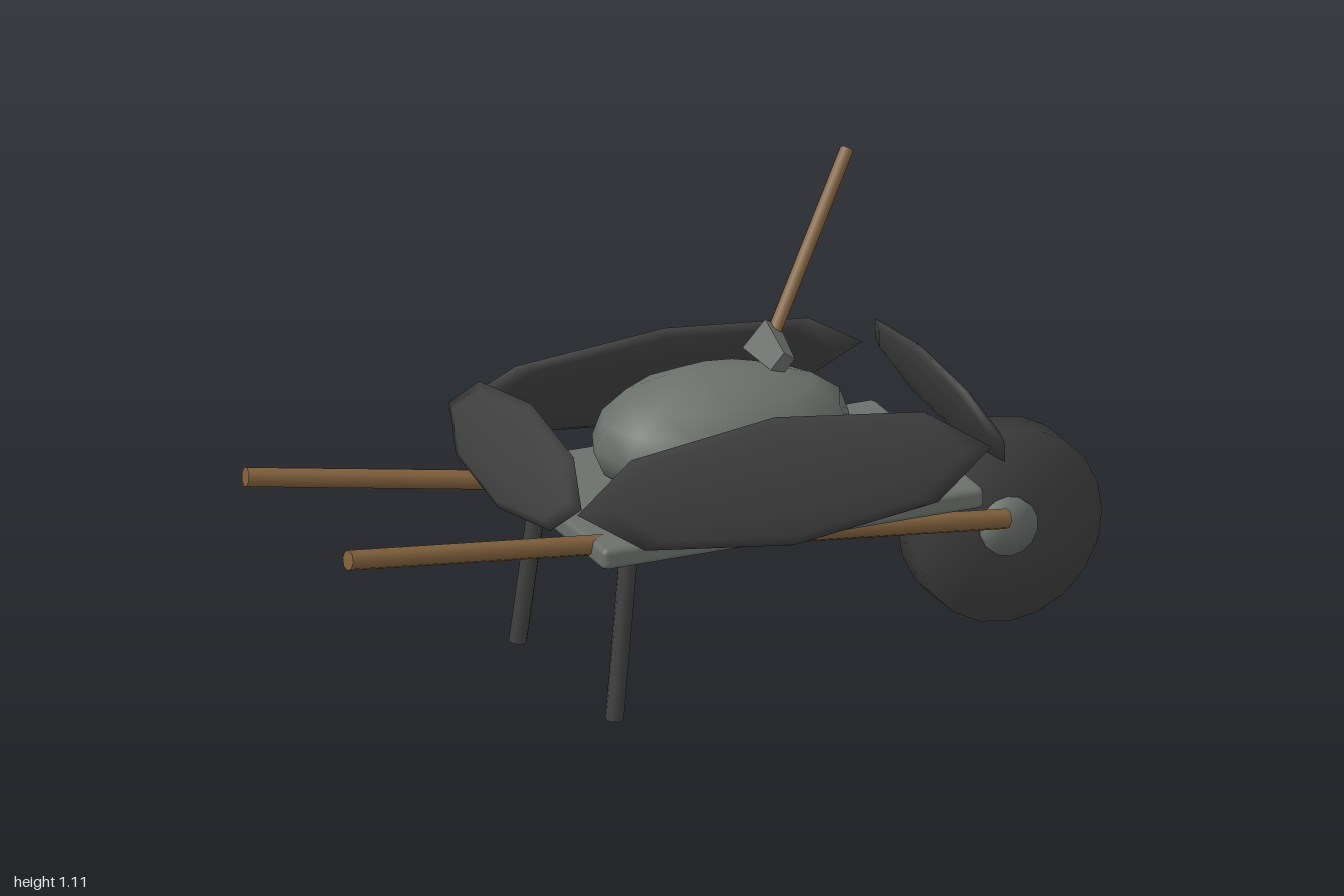
import * as THREE from 'three';
import { mergeVertices } from 'three/addons/utils/BufferGeometryUtils.js';
import { RoundedBoxGeometry } from 'three/addons/geometries/RoundedBoxGeometry.js';

export function createModel() {
  const root = new THREE.Group();
  root.name = 'wheelbarrow';
  const paint = (name, color) => {
    const m = new THREE.MeshStandardMaterial({ color });
    m.name = name;
    return m;
  };
  const dark = paint('charcoal', 0x404040);
  const stone = paint('stone grey', 0x6b706c);
  const wood = paint('brown wood', 0x80603c);

  const add = (name, geometry, material, x = 0, y = 0, z = 0) => {
    const mesh = new THREE.Mesh(geometry, material);
    mesh.name = name;
    mesh.position.set(x, y, z);
    root.add(mesh);
    return mesh;
  };

  // Share vertices so shading rolls softly over the rims
  const soften = (geometry) => {
    geometry.deleteAttribute('uv');
    geometry.deleteAttribute('normal');
    const merged = mergeVertices(geometry, 1e-4);
    merged.computeVertexNormals();
    return merged;
  };

  // Straight round pole between two points
  const rod = (name, from, to, radius, material) => {
    const a = new THREE.Vector3(...from), b = new THREE.Vector3(...to);
    const dir = b.clone().sub(a);
    const geometry = new THREE.CylinderGeometry(radius, radius, dir.length(), 8);
    const mid = a.add(b).multiplyScalar(0.5);
    const mesh = add(name, geometry, material, mid.x, mid.y, mid.z);
    mesh.quaternion.setFromUnitVectors(new THREE.Vector3(0, 1, 0), dir.normalize());
  };

  // Wheel and hub, axle along z
  const disc = (radius, width, sides) =>
    soften(new THREE.CylinderGeometry(radius, radius, width, sides).rotateX(Math.PI / 2));
  add('wheel', disc(0.235, 0.096, 20), dark, 0.765, 0.238, 0);
  add('hub', disc(0.07, 0.132, 14), stone, 0.762, 0.24, 0);

  // Tray floor with bevelled edges
  add('trayFloor', new RoundedBoxGeometry(0.96, 0.054, 0.62, 1, 0.016), stone, 0.11, 0.428, 0);

  // Thin eight-sided panels leaning inward round the tray
  const panel = (halfLength, halfHeight, halfThickness) =>
    new THREE.SphereGeometry(1, 8, 6).rotateX(Math.PI / 2)
      .scale(halfLength, halfHeight, halfThickness);
  for (const s of [1, -1]) {
    const side = add(s > 0 ? 'leftSidePanel' : 'rightSidePanel', panel(0.52, 0.148, 0.026), dark, 0.062, 0.574, s * 0.36);
    side.rotation.x = -s * 0.38;
  }
  const frontEnd = add('wheelEndPanel', panel(0.36, 0.148, 0.024).rotateY(Math.PI / 2), dark, 0.615, 0.578, 0);
  frontEnd.rotation.z = 0.48;
  const rearEnd = add('handleEndPanel', panel(0.37, 0.128, 0.024).rotateY(Math.PI / 2), dark, -0.452, 0.59, 0);
  rearEnd.rotation.z = -0.33;

  // Mirrored handles and legs
  for (const s of [1, -1]) {
    rod('handle', [-1, 0.525, s * 0.285], [0.73, 0.285, s * 0.115], 0.024, wood);
    rod('leg', [-0.277, 0.42, s * 0.245], [-0.324, 0.017, s * 0.268], 0.022, dark);
  }

  // Lumpy boulder: ellipsoid pushed in and out by a smooth rule
  const boulder = new THREE.SphereGeometry(1, 12, 8);
  const p = boulder.attributes.position;
  for (let i = 0; i < p.count; i++) {
    const x = p.getX(i), y = p.getY(i), z = p.getZ(i);
    const k = 1 + 0.05 * Math.sin(3 * x + 2 * z) * Math.cos(4 * z - 2 * y);
    p.setXYZ(i, x * k * 0.32, y * 0.155, z * k * 0.212);
  }
  add('boulder', soften(boulder), stone, 0.063, 0.567, 0);

  // Small tool resting on the boulder, its head narrowing to one end
  const head = new THREE.BoxGeometry(0.052, 0.085, 0.12);
  const h = head.attributes.position;
  for (let i = 0; i < h.count; i++) {
    if (h.getZ(i) > 0) h.setXYZ(i, h.getX(i) * 0.7, h.getY(i) * 0.6, h.getZ(i));
  }
  head.computeVertexNormals();
  add('toolHead', head, stone, 0.205, 0.732, -0.025).rotation.set(0.2, 0, -0.64);
  rod('toolHandle', [0.215, 0.74, -0.06], [0.49, 1.105, -0.242], 0.017, wood);

  return root;
}
